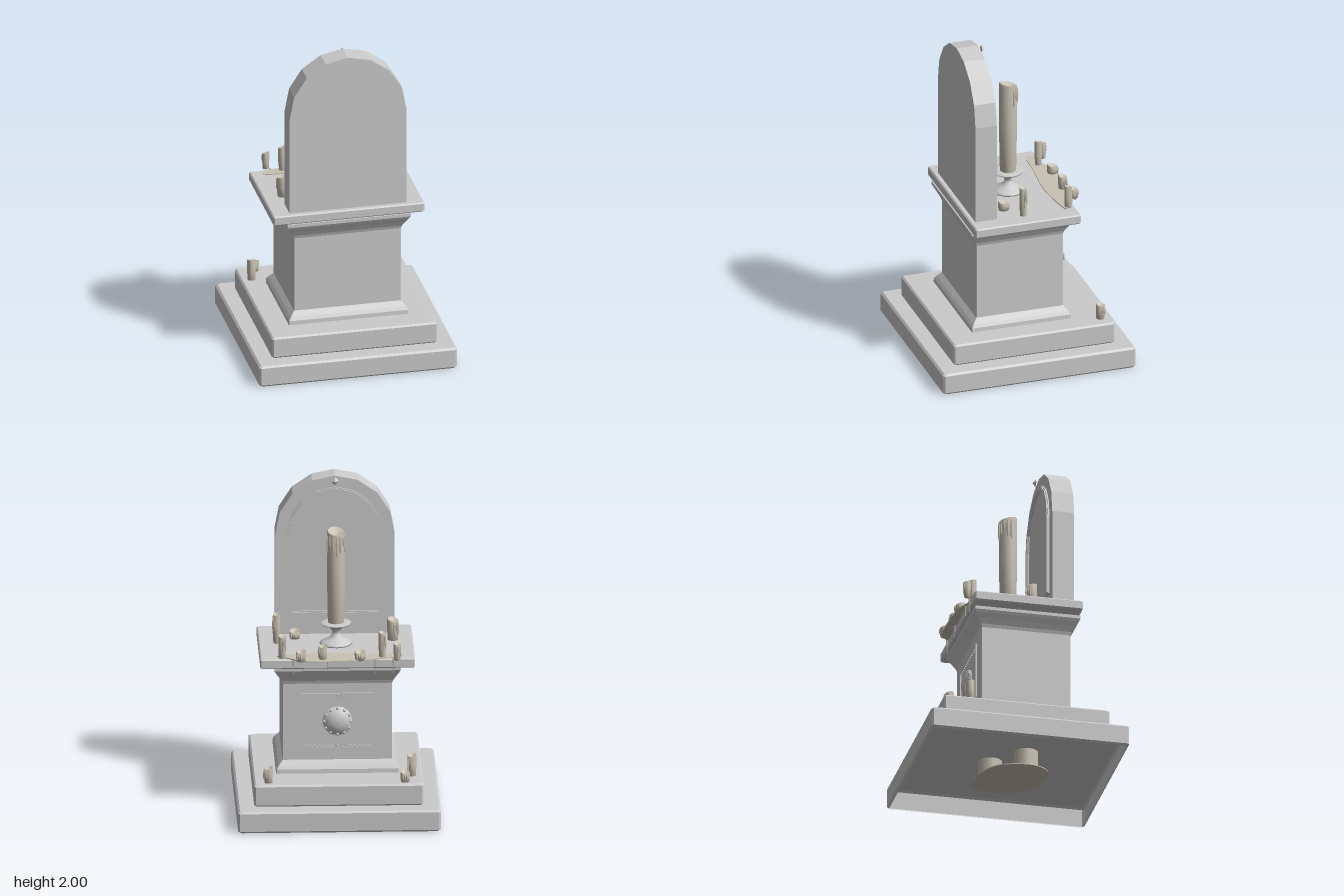
import * as THREE from 'three';

const stone = new THREE.MeshStandardMaterial({ color: 0xcccccc, flatShading: true, side: THREE.DoubleSide });
const metal = new THREE.MeshStandardMaterial({ color: 0xcccccc });
const wax = new THREE.MeshStandardMaterial({ color: 0xc9c2b3, side: THREE.DoubleSide });

function add(parent, name, geo, mat, x = 0, y = 0, z = 0) {
  const m = new THREE.Mesh(geo, mat);
  m.name = name;
  m.position.set(x, y, z);
  parent.add(m);
  return m;
}

// Stack of chamfered rectangles; each ring is [y, halfX, halfZ]
function loft(rings, cz = 0, c = 0.008, openBottom = false) {
  const pts = rings.map(([y, a, b]) =>
    [[a, b - c], [a, c - b], [a - c, -b], [c - a, -b], [-a, c - b], [-a, b - c], [c - a, b], [a - c, b]]
      .map(([x, z]) => [x, y, z + cz]));
  const pos = [];
  const tri = (...t) => t.forEach((p) => pos.push(...p));
  for (let i = 0; i < pts.length - 1; i++) {
    for (let j = 0; j < 8; j++) {
      const k = (j + 1) % 8, lo = pts[i], hi = pts[i + 1];
      tri(lo[j], lo[k], hi[k]);
      tri(lo[j], hi[k], hi[j]);
    }
  }
  const bottom = pts[0], top = pts[pts.length - 1];
  for (let j = 1; j < 7; j++) {
    tri(top[0], top[j], top[j + 1]);
    if (!openBottom) tri(bottom[0], bottom[j + 1], bottom[j]);
  }
  const g = new THREE.BufferGeometry();
  g.setAttribute('position', new THREE.Float32BufferAttribute(pos, 3));
  g.computeVertexNormals();
  return g;
}

// Slab with bevelled edges
function slab(y0, y1, hx, hz, cz, b, open) {
  return loft([[y0, hx - b, hz - b], [y0 + b, hx, hz], [y1 - b, hx, hz], [y1, hx - b, hz - b]], cz, b, open);
}

// Round-topped outline with eight arch facets
function arch(w, y0, spring, top, Kind = THREE.Shape) {
  const p = [new THREE.Vector2(-w, y0), new THREE.Vector2(w, y0)];
  for (let i = 0; i <= 8; i++) {
    const a = (i / 8) * Math.PI;
    p.push(new THREE.Vector2(w * Math.cos(a), spring + (top - spring) * Math.sin(a)));
  }
  return new Kind(p);
}

function archFrame(w, t, y0, top, depth) {
  const s = arch(w, y0, 1.62, top);
  s.holes.push(arch(w - t, y0 + t, 1.62, top - t, THREE.Path));
  return new THREE.ExtrudeGeometry(s, { depth, bevelEnabled: false });
}

// Candle with a slanted hollow top and wax runs down one side
function candle(parent, name, x, y, z, r, h, drips = 3, turn = 0) {
  const g = new THREE.Group();
  g.name = name;
  g.position.set(x, y, z);
  g.rotation.y = turn;
  const prof = [[0, 0], [r * 0.9, 0], [r, h * 0.5], [r, h], [r * 0.88, h + r * 0.1], [r * 0.6, h - r * 0.2], [0, h - r * 0.35]];
  const body = new THREE.LatheGeometry(prof.map((p) => new THREE.Vector2(...p)), 12);
  const p = body.attributes.position;
  for (let i = 0; i < p.count; i++) {
    if (p.getY(i) > h * 0.6) p.setY(i, p.getY(i) + p.getZ(i) * 0.27);
  }
  body.computeVertexNormals();
  add(g, 'candleBody', body, wax);
  const dr = Math.min(r * 0.22, 0.007);
  for (let i = 0; i < drips; i++) {
    const a = Math.PI + (i - drips / 2 + 0.3) * 0.42;
    const len = Math.min(h * 0.8, 0.13) * (0.5 + 0.5 * Math.abs(Math.sin(i * 2.3 + 1)));
    const m = add(g, 'waxRun', new THREE.SphereGeometry(1, 6, 6), wax,
      Math.sin(a) * r, h - r * 0.25 - len / 2, Math.cos(a) * r);
    m.scale.set(dr, len / 2, dr);
  }
  parent.add(g);
  return g;
}

function puddle(points, depth) {
  const s = new THREE.Shape();
  s.splineThru; // outline is smoothed through a closed curve
  const curve = new THREE.CatmullRomCurve3(points.map(([x, z]) => new THREE.Vector3(x, -z, 0)), true);
  s.setFromPoints(curve.getPoints(40).map((v) => new THREE.Vector2(v.x, v.y)));
  return new THREE.ExtrudeGeometry(s, { depth, bevelEnabled: false }).rotateX(-Math.PI / 2);
}

export function createModel() {
  const model = new THREE.Group();
  model.name = 'candleShrine';

  // Stepped base, open underneath
  add(model, 'lowerStep', slab(0, 0.135, 0.61, 0.61, 0, 0.012, true), stone);
  add(model, 'upperStep', slab(0.135, 0.27, 0.51, 0.51, 0, 0.01), stone);

  // Pedestal with foot and cove mouldings
  const rings = [[0.27, 0.04], [0.295, 0.038], [0.315, 0.025], [0.345, 0], [0.825, 0], [0.845, 0.007],
    [0.875, 0.024], [0.905, 0.042], [0.92, 0.05], [0.94, 0.05]];
  add(model, 'pedestal', loft(rings.map(([y, d]) => [y, 0.33 + d, 0.275 + d]), 0.035, 0.003), stone);
  add(model, 'tableTop', slab(0.94, 1.0, 0.466, 0.333, 0.023, 0.007), stone);

  // Arched stone with moulded frame and a small pointed stud
  const slabGeo = new THREE.ExtrudeGeometry(arch(0.36, 1.0, 1.625, 1.998), { depth: 0.135, bevelEnabled: false });
  add(model, 'archedStone', slabGeo, stone, 0, 0, 0.19);
  add(model, 'archFrameOuter', archFrame(0.29, 0.034, 1.112, 1.93, 0.009), stone, 0, 0, 0.181);
  add(model, 'archFrameInner', archFrame(0.282, 0.018, 1.12, 1.922, 0.016), stone, 0, 0, 0.174);
  add(model, 'archStud', new THREE.ConeGeometry(0.026, 0.02, 4).rotateX(-Math.PI / 2), stone, 0, 1.97, 0.16);

  // Framed medallion on the back of the pedestal
  const panel = new THREE.Group();
  panel.name = 'medallionPanel';
  panel.position.set(0, 0.59, -0.242);
  model.add(panel);
  for (const s of [-1, 1]) {
    add(panel, 'panelRail', new THREE.BoxGeometry(0.43, 0.012, 0.014), stone, 0, s * 0.169, 0);
    add(panel, 'panelStile', new THREE.BoxGeometry(0.012, 0.35, 0.014), stone, s * 0.209, 0, 0);
    for (let i = -7; i <= 7; i++) {
      add(panel, 'panelBead', new THREE.BoxGeometry(0.014, 0.012, 0.012), stone, i * 0.027, s * 0.157, 0);
    }
  }
  const dome = [[0.09, 0], [0.088, 0.012], [0.075, 0.018], [0.068, 0.024], [0.05, 0.036], [0.025, 0.042], [0, 0.044]];
  add(panel, 'medallion', new THREE.LatheGeometry(dome.map((p) => new THREE.Vector2(...p)), 16).rotateX(-Math.PI / 2), metal);
  for (let i = 0; i < 12; i++) {
    const a = (i / 12) * Math.PI * 2;
    add(panel, 'medallionBead', new THREE.SphereGeometry(0.01, 6, 5), metal, 0.08 * Math.cos(a), 0.08 * Math.sin(a), -0.014);
  }

  // Candlestick and tall candle
  const stick = [[0, 0], [0.098, 0], [0.098, 0.01], [0.08, 0.02], [0.045, 0.038], [0.024, 0.06], [0.022, 0.08],
    [0.04, 0.1], [0.06, 0.115], [0.09, 0.124], [0.092, 0.133], [0.06, 0.136], [0, 0.136]];
  add(model, 'candlestick', new THREE.LatheGeometry(stick.map((p) => new THREE.Vector2(...p)), 12), metal, 0, 1, 0);
  candle(model, 'tallCandle', 0, 1.13, 0, 0.055, 0.575, 8, 0.35);

  // Small candles: x, floor, z, radius, height
  const small = [
    [-0.4, 0.27, -0.455, 0.028, 0.06], [0.422, 0.27, -0.445, 0.027, 0.09], [-0.445, 0.27, -0.335, 0.027, 0.127],
    [-0.357, 1, -0.335, 0.022, 0.1], [-0.268, 1, -0.28, 0.022, 0.155], [-0.134, 1, -0.325, 0.033, 0.05],
    [0.09, 1, -0.315, 0.026, 0.085], [0.223, 1, -0.338, 0.03, 0.06], [0.334, 1, -0.27, 0.023, 0.135],
    [-0.344, 1, 0.065, 0.035, 0.125], [0.245, 1, 0.11, 0.033, 0.045], [0.357, 1, 0.022, 0.022, 0.18],
  ];
  small.forEach(([x, y, z, r, h], i) => candle(model, 'smallCandle', x, y, z, r, h, 3, Math.sin(i * 5) * 0.9));

  // Spilt wax over the table edge, with hanging drips
  const spill = [[-0.39, -0.245], [-0.38, -0.28], [-0.27, -0.31], [-0.19, -0.34], [-0.1, -0.355], [0.16, -0.365],
    [0.24, -0.34], [0.29, -0.3], [0.365, -0.25], [0.33, -0.235], [0.2, -0.215], [0.05, -0.205], [-0.2, -0.225]];
  add(model, 'spiltWax', puddle(spill, 0.006), wax, 0, 1, 0);
  [[0.267, 0.13], [0.06, 0.08], [-0.225, 0.1], [-0.335, 0.12]].forEach(([x, len]) => {
    add(model, 'hangingDrip', new THREE.ConeGeometry(0.007, len, 6).rotateX(Math.PI), wax, x, 1.004 - len / 2, -0.315);
  });

  // Wax and candle stubs inside the hollow base
  const pool = [[0.2, -0.18], [0.22, 0.08], [0.1, 0.2], [-0.12, 0.22], [-0.2, 0.12], [-0.16, -0.08], [-0.02, -0.17]];
  add(model, 'baseWax', puddle(pool, 0.006), wax, 0, 0.002, 0);
  for (const s of [-1, 1]) {
    add(model, 'baseStub', new THREE.CylinderGeometry(0.075, 0.075, 0.13, 12), wax, s * 0.09, 0.067, -s * 0.09);
  }
  return model;
}
